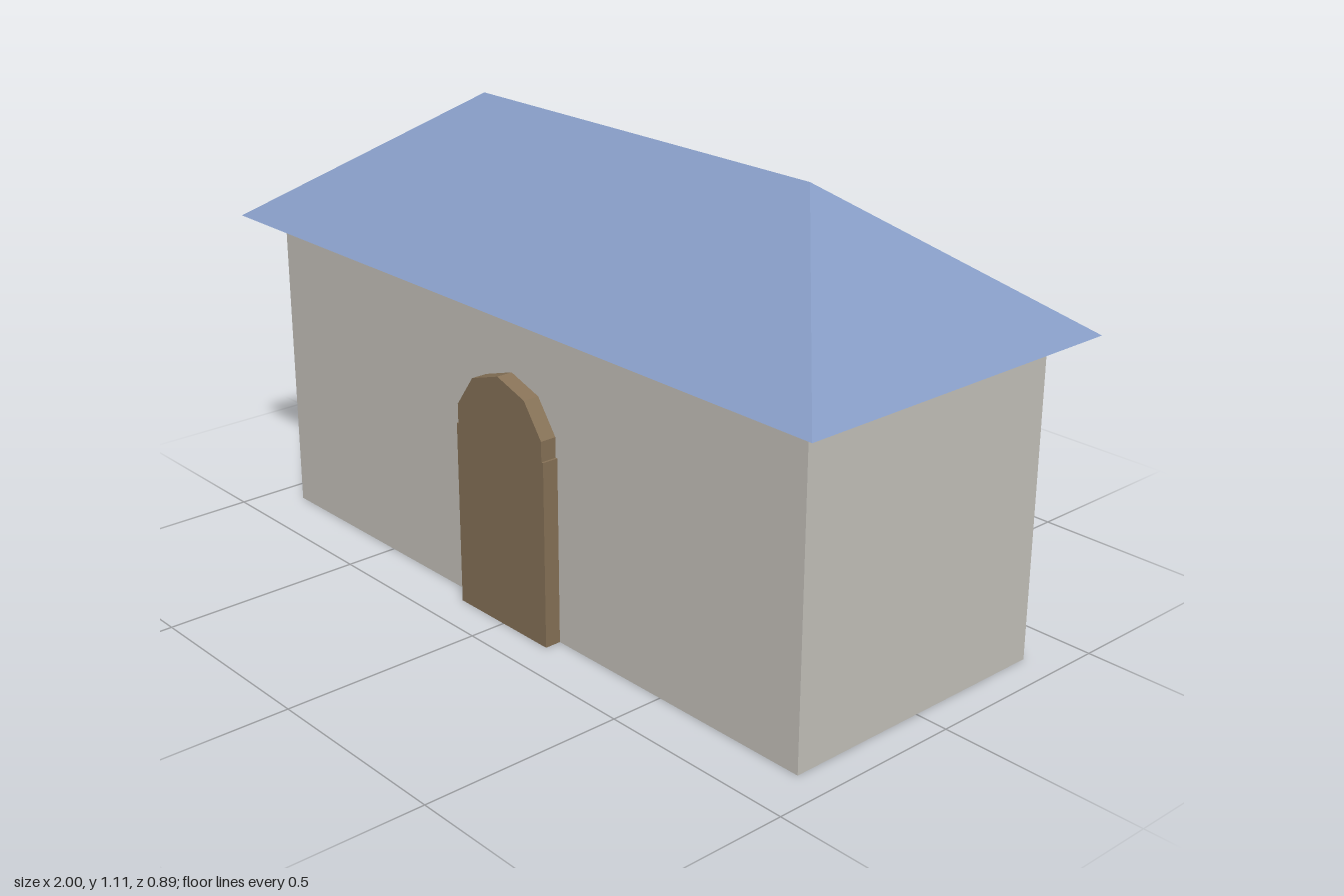
import * as THREE from 'three';

const WALL_TOP = 0.783, RIDGE_Y = 1.11;

// Hip roof: a box whose top face is pinched to a ridge line
function hipRoofGeometry(halfX, halfZ, ridgeHalf, y0, y1) {
  const eaves = [[-halfX, y0, halfZ], [halfX, y0, halfZ], [halfX, y0, -halfZ], [-halfX, y0, -halfZ]];
  const [a, b, c, d] = eaves;
  const l = [-ridgeHalf, y1, 0], r = [ridgeHalf, y1, 0];
  const faces = [
    [a, b, r], [a, r, l], // front slope
    [c, d, l], [c, l, r], // back slope
    [b, c, r], [d, a, l], // hipped ends
    [a, d, c], [a, c, b], // underside
  ];
  const geo = new THREE.BufferGeometry();
  geo.setAttribute('position', new THREE.Float32BufferAttribute(faces.flat(2), 3));
  geo.computeVertexNormals();
  return geo;
}

// Door outline: straight jambs with a faceted arch on top
function doorShape(halfWidth, springY, radius) {
  const shape = new THREE.Shape();
  shape.moveTo(-halfWidth, 0);
  shape.lineTo(halfWidth, 0);
  shape.lineTo(halfWidth, springY);
  const side = radius * Math.cos(Math.PI / 10);
  shape.lineTo(side, springY);
  for (let i = 0; i < 5; i++) {
    const angle = Math.PI * (0.1 + 0.2 * i);
    shape.lineTo(radius * Math.cos(angle), springY + radius * Math.sin(angle));
  }
  shape.lineTo(-side, springY);
  shape.lineTo(-halfWidth, springY);
  return shape;
}

export function createModel() {
  const material = (name, color) => {
    const m = new THREE.MeshStandardMaterial({ color });
    m.name = name;
    return m;
  };
  const stone = material('stone wall', 0xc8c5be);
  const slate = material('blue roof', 0x869cc5);
  const wood = material('brown wood', 0x887358);

  const house = new THREE.Group();
  house.name = 'house';
  const add = (name, geometry, mat) => {
    const mesh = new THREE.Mesh(geometry, mat);
    mesh.name = name;
    house.add(mesh);
    return mesh;
  };

  add('walls', new THREE.BoxGeometry(1.836, WALL_TOP, 0.734), stone).position.y = WALL_TOP / 2;
  add('roof', hipRoofGeometry(1, 0.445, 0.555, WALL_TOP, RIDGE_Y), slate);

  // Arched door standing proud of the front wall
  const doorGeometry = new THREE.ExtrudeGeometry(doorShape(0.158, 0.46, 0.16), { depth: 0.051, bevelEnabled: false });
  add('door', doorGeometry, wood).position.z = 0.357;

  return house;
}
